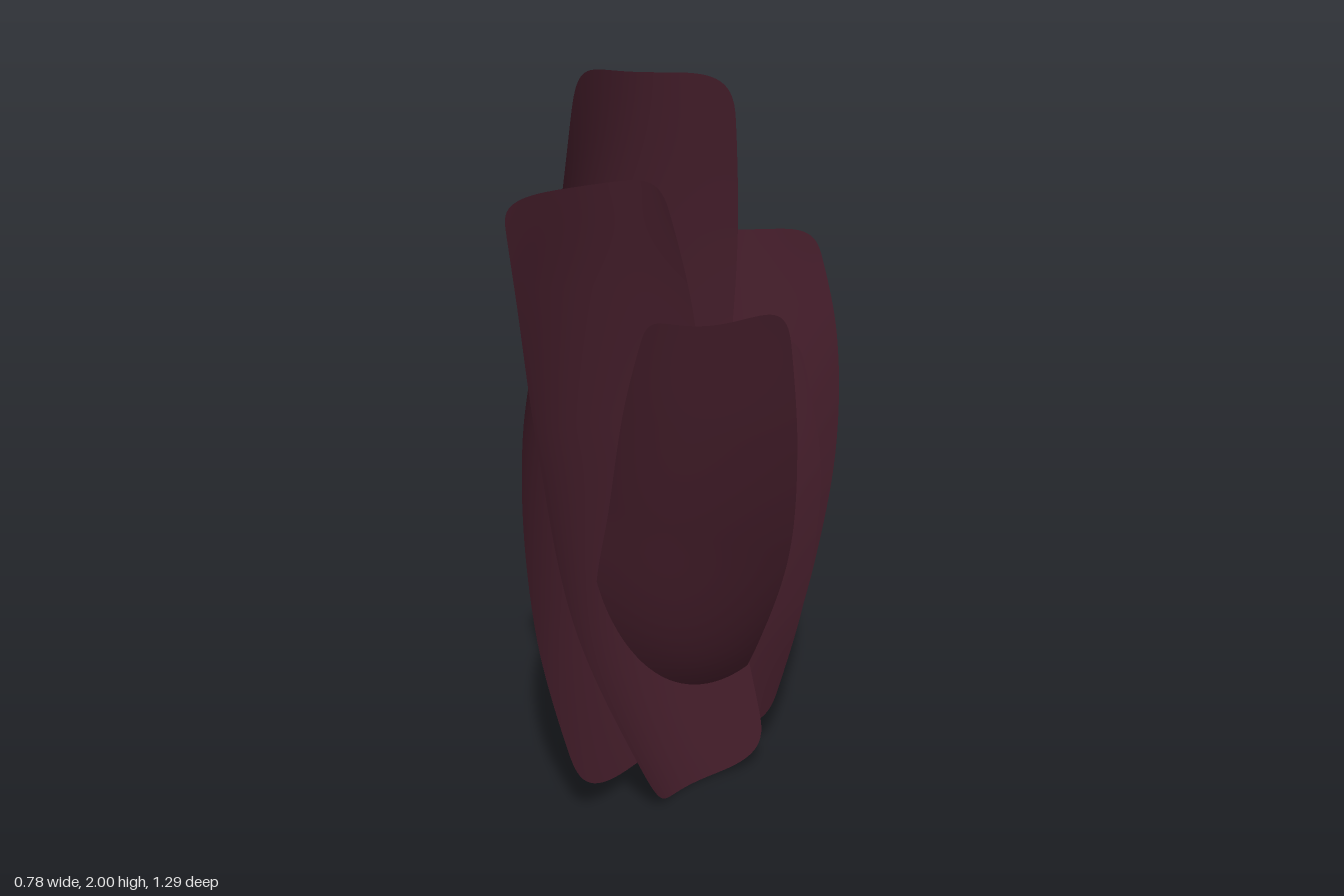
import * as THREE from 'three';

const material = new THREE.MeshStandardMaterial({ color: 0x3e1a26, side: THREE.DoubleSide });
const ACROSS = 44, ALONG = 48;

const curve = (pts) => new THREE.CatmullRomCurve3(pts.map((p) => new THREE.Vector3(...p)));

// A cupped petal spanned by its left edge, spine and right edge (base to tip),
// with the corners of both ends rounded off.
function petal(name, left, spine, right) {
  const [l, m, r] = [left, spine, right].map(curve);
  const pos = [], index = [];
  for (let j = 0; j <= ALONG; j++) {
    for (let i = 0; i <= ACROSS; i++) {
      const u = Math.sin((i / ACROSS - 0.5) * Math.PI); // denser near the edges
      const corner = 1 - Math.pow(Math.max(0, 1 - Math.abs(u) ** 5), 0.25);
      const t = 0.5 + (j / ALONG - 0.5) * (1 - 0.2 * corner);
      const p = new THREE.Vector3()
        .addScaledVector(l.getPoint(t), u * (u - 1) / 2)
        .addScaledVector(m.getPoint(t), 1 - u * u)
        .addScaledVector(r.getPoint(t), u * (u + 1) / 2);
      pos.push(p.x, p.y, p.z);
      if (i < ACROSS && j < ALONG) {
        const a = j * (ACROSS + 1) + i, b = a + ACROSS + 1;
        index.push(a, a + 1, b, a + 1, b + 1, b);
      }
    }
  }
  const geo = new THREE.BufferGeometry();
  geo.setAttribute('position', new THREE.Float32BufferAttribute(pos, 3));
  geo.setIndex(index);
  geo.computeVertexNormals();
  const mesh = new THREE.Mesh(geo, material);
  mesh.name = name;
  return mesh;
}

export function createModel() {
  const group = new THREE.Group();
  group.name = 'petalCluster';
  group.add(
    petal('tallPetal',
      [[-0.13, 0.06, 0.67], [-0.29, 0.5, 0.58], [-0.37, 1, 0.43], [-0.33, 1.5, 0.25], [-0.3, 2.01, 0.12]],
      [[-0.03, 0.05, 0.28], [-0.24, 0.5, 0.15], [-0.31, 1, 0], [-0.3, 1.5, -0.11], [-0.22, 1.99, -0.2]],
      [[0.08, 0.1, 0.05], [0.04, 0.5, -0.1], [0.05, 1, -0.25], [0.06, 1.5, -0.35], [0.04, 2, -0.38]]),
    petal('sidePetal',
      [[0.06, 0.01, 0.57], [-0.18, 0.5, 0.56], [-0.29, 1, 0.53], [-0.34, 1.4, 0.53], [-0.37, 1.66, 0.54]],
      [[0.1, 0, 0.38], [-0.13, 0.5, 0.27], [-0.22, 1, 0.26], [-0.24, 1.4, 0.24], [-0.23, 1.68, 0.23]],
      [[0.29, 0.03, 0.22], [0.17, 0.42, 0.09], [0.07, 0.9, 0.04], [0.01, 1.35, 0.05], [-0.06, 1.7, 0.12]]),
    petal('frontPetal',
      [[-0.19, 0.03, 0.19], [-0.2, 0.5, 0.33], [-0.14, 0.8, 0.38], [-0.08, 1.1, 0.42], [0, 1.36, 0.46]],
      [[-0.06, 0.02, 0.09], [0.03, 0.35, 0.32], [0.1, 0.75, 0.41], [0.14, 1.05, 0.45], [0.17, 1.34, 0.47]],
      [[0.07, 0.01, 0.03], [0.24, 0.35, 0.16], [0.34, 0.65, 0.22], [0.37, 0.98, 0.28], [0.35, 1.39, 0.34]]),
    petal('shortBackPetal',
      [[0.01, 0.08, 0.16], [-0.07, 0.4, 0.1], [-0.12, 0.78, -0.05], [-0.05, 1.2, -0.22]],
      [[0.13, 0.08, 0.18], [0.13, 0.4, 0.14], [0.14, 0.8, 0.01], [0.12, 1.2, -0.21]],
      [[0.26, 0.08, 0.08], [0.35, 0.45, -0.01], [0.37, 0.8, -0.14], [0.27, 1.19, -0.31]]),
    petal('longBackPetal',
      [[-0.05, 0.08, 0.04], [-0.08, 0.5, -0.07], [-0.12, 0.9, -0.24], [-0.17, 1.5, -0.52]],
      [[0.09, 0.09, 0.04], [0.13, 0.5, -0.02], [0.14, 0.9, -0.16], [0.06, 1.5, -0.5]],
      [[0.25, 0.08, -0.04], [0.35, 0.5, -0.17], [0.39, 0.85, -0.31], [0.36, 1.18, -0.47], [0.25, 1.5, -0.68]]),
  );
  return group;
}
